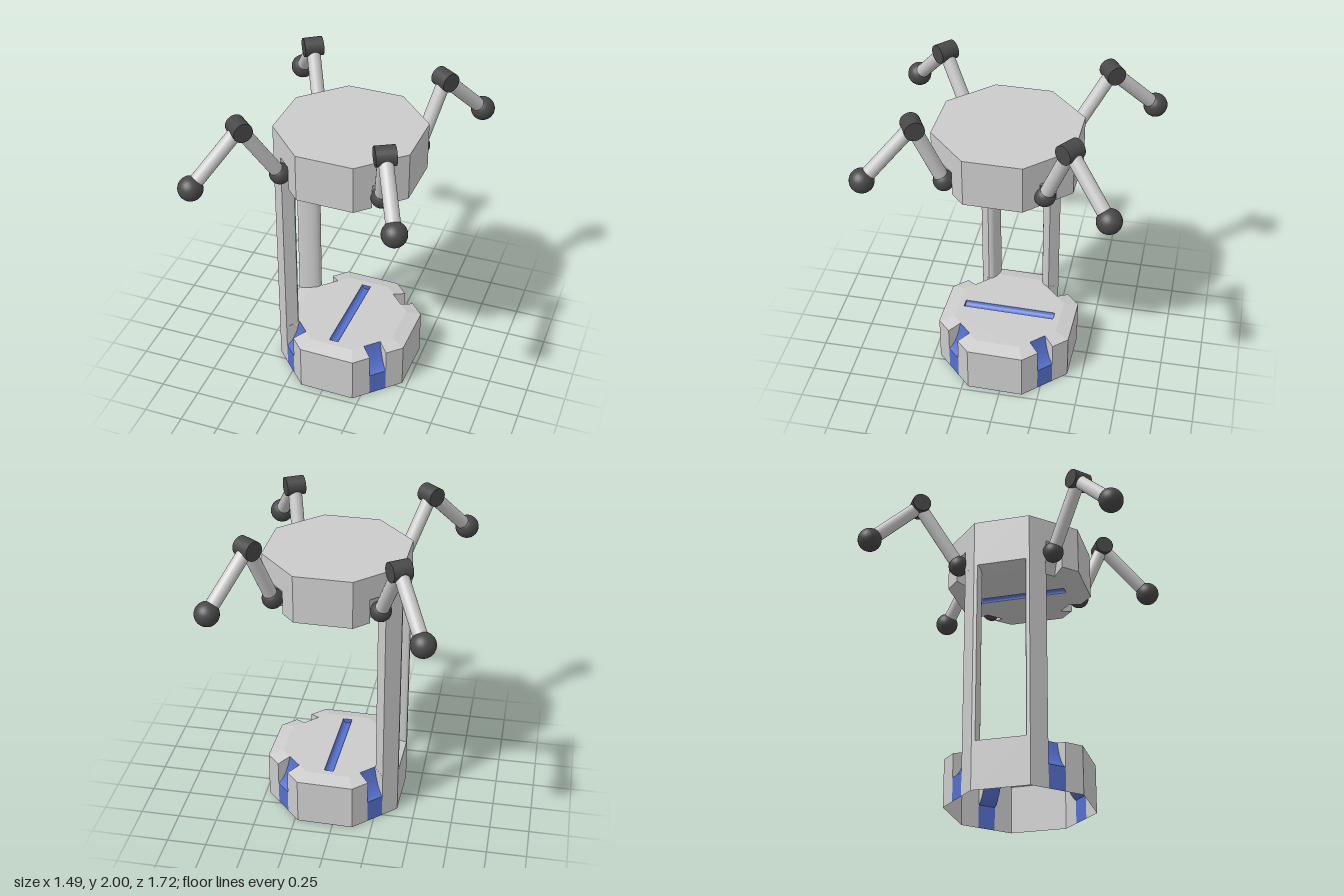
import * as THREE from 'three';
import { toCreasedNormals } from 'three/addons/utils/BufferGeometryUtils.js';

const R = 0.43, RT = 0.34;                 // apothems of the wall and of the chamfered cap
const H = 0.305, HT = 0.33, HN = 0.15;     // wall height, cap height, notch start
const W = 0.0575;                          // half width of a notch
const TAN = Math.tan(Math.PI / 8);

const grey = new THREE.MeshStandardMaterial({ color: 0xcccccc, side: THREE.DoubleSide });
const blue = new THREE.MeshStandardMaterial({ color: 0x5570cc, side: THREE.DoubleSide });
const dark = new THREE.MeshStandardMaterial({ color: 0x484848 });

function add(parent, name, geometry, material) {
  const mesh = new THREE.Mesh(geometry, material);
  mesh.name = name;
  parent.add(mesh);
  return mesh;
}

// point on an octagon side: r outward, s along the side, y up
function at(angle, r, s, y) {
  const c = Math.cos(angle), n = Math.sin(angle);
  return [c * r - n * s, y, n * r + c * s];
}

function fromPoints(points) {
  const g = new THREE.BufferGeometry();
  g.setAttribute('position', new THREE.Float32BufferAttribute(points.flat(), 3));
  g.computeVertexNormals();
  return g;
}

// strip between two [r, y, sLow, sHigh] rows
function quad(out, angle, lo, hi) {
  const a = at(angle, lo[0], lo[3], lo[1]), b = at(angle, lo[0], lo[2], lo[1]);
  const c = at(angle, hi[0], hi[2], hi[1]), d = at(angle, hi[0], hi[3], hi[1]);
  out.push(a, b, c, a, c, d);
}

function octagon(apothem) {
  const shape = new THREE.Shape();
  for (let i = 0; i < 8; i++) {
    const a = (i + 0.5) * Math.PI / 4, r = apothem / Math.cos(Math.PI / 8);
    shape[i ? 'lineTo' : 'moveTo'](r * Math.cos(a), r * Math.sin(a));
  }
  return shape;
}

// open octagonal cup with chamfered cap, four notches and a slot
function housing(name, notchMaterial) {
  const group = new THREE.Group();
  group.name = name;
  const walls = [], notches = [];
  const s0 = R * TAN, s1 = RT * TAN;
  const curve = new THREE.QuadraticBezierCurve(
    new THREE.Vector2(R, HN), new THREE.Vector2(0.37, 0.18), new THREE.Vector2(RT, HT)).getPoints(8);
  for (let i = 0; i < 8; i++) {
    const a = i * Math.PI / 4;
    const spans = i % 2 ? [[-s0, -W, -s1, -W], [W, s0, W, s1]] : [[-s0, s0, -s1, s1]];
    for (const [l0, l1, u0, u1] of spans) {
      quad(walls, a, [R, 0, l0, l1], [R, H, l0, l1]);
      quad(walls, a, [R, H, l0, l1], [RT, HT, u0, u1]);
    }
    if (i % 2 === 0) continue;
    quad(notches, a, [R, 0, -W, W], [R, HN, -W, W]);
    for (let k = 0; k < 8; k++) {
      const p = curve[k], q = curve[k + 1];
      quad(notches, a, [p.x, p.y, -W, W], [q.x, q.y, -W, W]);
      // cheeks of the notch
      walls.push(at(a, R, W, H), at(a, p.x, W, p.y), at(a, q.x, W, q.y));
      walls.push(at(a, R, -W, H), at(a, q.x, -W, q.y), at(a, p.x, -W, p.y));
    }
  }
  add(group, 'walls', fromPoints(walls), grey);
  add(group, 'notches', toCreasedNormals(fromPoints(notches), 0.5), notchMaterial);

  const cap = octagon(RT), hole = new THREE.Path();
  hole.moveTo(-0.03, -0.3).lineTo(-0.03, 0.3).lineTo(0.03, 0.3).lineTo(0.03, -0.3).closePath();
  cap.holes.push(hole);
  add(group, 'cap', new THREE.ShapeGeometry(cap).rotateX(-Math.PI / 2).translate(0, HT, 0), grey);
  const trough = new THREE.CylinderGeometry(0.03, 0.03, 0.6, 12, 1, false, -Math.PI / 2, Math.PI);
  add(group, 'slotTrough', trough.rotateX(Math.PI / 2).translate(0, HT, 0), blue);
  return group;
}

// upright that continues the wall corner, rounded on its inner side
function post(side) {
  const inner = [[-0.288, 0.206], [-0.295, 0.18], [-0.325, 0.158], [-0.37, 0.148], [-0.415, 0.149], [-0.43, 0.156]];
  const toVec = ([x, z]) => new THREE.Vector2(x, -side * z);
  const shape = new THREE.Shape();
  shape.moveTo(-R, -side * R * TAN);
  shape.lineTo(-0.345, -side * 0.263);
  shape.lineTo(inner[0][0], -side * inner[0][1]);
  shape.splineThru(inner.slice(1).map(toVec));
  shape.closePath();
  const g = new THREE.ExtrudeGeometry(shape, { depth: 1.17, bevelEnabled: false, curveSegments: 12 });
  return toCreasedNormals(g.rotateX(-Math.PI / 2).translate(0, 0.305, 0), 0.6);
}

// cylinder between two points
function rod(parent, name, from, to, radius, material) {
  const dir = to.clone().sub(from);
  const mesh = add(parent, name, new THREE.CylinderGeometry(radius, radius, dir.length(), 24), material);
  mesh.position.copy(from).addScaledVector(dir, 0.5);
  mesh.quaternion.setFromUnitVectors(new THREE.Vector3(0, 1, 0), dir.normalize());
}

function ball(parent, name, center, radius) {
  add(parent, name, new THREE.SphereGeometry(radius, 24, 16), dark).position.copy(center);
}

export function createModel() {
  const model = new THREE.Group();
  const body = new THREE.Group();
  body.name = 'body';
  body.position.set(0.04, 0, 0.022);
  body.rotation.y = -0.0245;
  model.add(body);

  body.add(housing('lowerHousing', blue));
  const upper = housing('upperHousing', grey);
  upper.rotation.x = Math.PI;
  upper.position.y = 1.778;
  body.add(upper);
  add(body, 'lid', new THREE.ShapeGeometry(octagon(R)).rotateX(-Math.PI / 2).translate(0, 1.778, 0), grey);
  for (const side of [1, -1]) add(body, side > 0 ? 'frontPost' : 'backPost', post(side), grey);

  // shoulder, elbow and hand as x, z pairs
  const arms = {
    frontLeftArm: [0.345, 0.35, 0.41, 0.505, 0.56, 0.78],
    backLeftArm: [0.385, -0.26, 0.485, -0.415, 0.67, -0.67],
    frontRightArm: [-0.3, 0.32, -0.455, 0.52, -0.67, 0.755],
    backRightArm: [-0.275, -0.3, -0.41, -0.53, -0.585, -0.79],
  };
  for (const [name, p] of Object.entries(arms)) {
    const arm = new THREE.Group();
    arm.name = name;
    const shoulder = new THREE.Vector3(p[0], 1.545, p[1]);
    const elbow = new THREE.Vector3(p[2], 1.94, p[3]);
    const hand = new THREE.Vector3(p[4], 1.633, p[5]);
    ball(arm, 'shoulder', shoulder, 0.065);
    rod(arm, 'upperArm', shoulder, elbow, 0.043, grey);
    const axis = new THREE.Vector3(hand.z - elbow.z, 0, elbow.x - hand.x).setLength(0.06);
    rod(arm, 'elbow', elbow.clone().sub(axis), elbow.clone().add(axis), 0.06, dark);
    rod(arm, 'forearm', elbow, hand, 0.043, grey);
    ball(arm, 'hand', hand, 0.075);
    model.add(arm);
  }
  return model;
}
